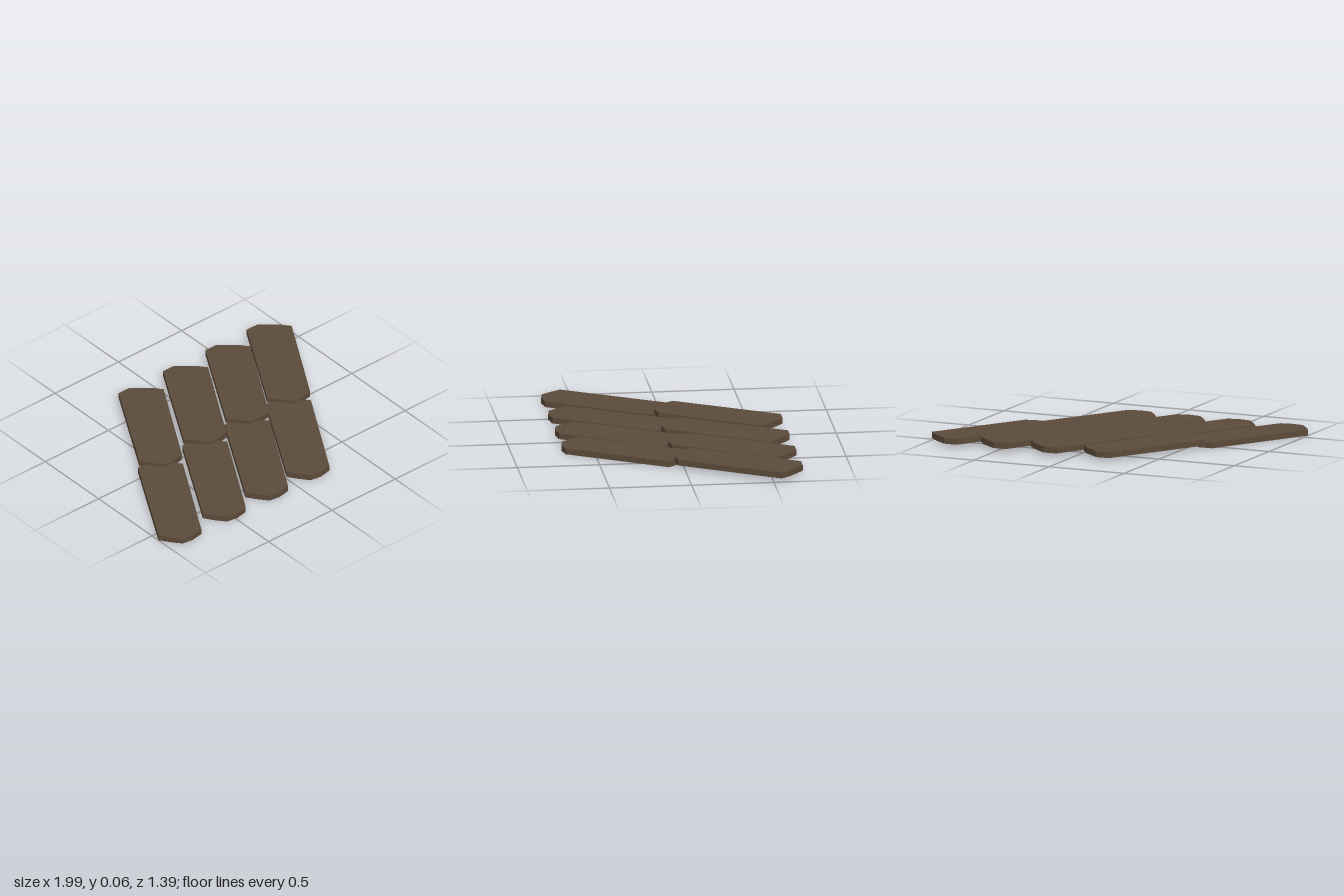
import * as THREE from 'three';

// Outline of one slanted plank as [x, z], with a blunt rounded tip at each end
const OUTLINE = [
  [-1.0, 0.56], [-0.955, 0.625], [-0.91, 0.68], [-0.84, 0.692], [-0.76, 0.677],
  [-0.41, 0.09], [-0.45, 0.04], [-0.5, -0.005], [-0.56, -0.055], [-0.643, -0.055],
];
const THICKNESS = 0.036;
const COLUMNS = [0, 0.352, 0.688, 1.015];

export function createModel() {
  const model = new THREE.Group();
  model.name = 'plankTiles';
  const wood = new THREE.MeshStandardMaterial({ color: 0x5c4a3a });
  wood.name = 'dark brown wood';

  const shape = new THREE.Shape(OUTLINE.map(([x, z]) => new THREE.Vector2(x, -z)));
  const plank = new THREE.ExtrudeGeometry(shape, { depth: THICKNESS, bevelEnabled: false });
  plank.rotateX(-Math.PI / 2);

  // Lower front row, and a raised back row overlapping its ends
  const rows = [
    { name: 'frontPlank', x: 0, y: 0, z: 0 },
    { name: 'backPlank', x: 0.388, y: 0.02, z: -0.64 },
  ];
  for (const row of rows) {
    COLUMNS.forEach((dx, i) => {
      const mesh = new THREE.Mesh(plank, wood);
      mesh.name = row.name + (i + 1);
      mesh.position.set(row.x + dx - 0.003 * i / 3, row.y, row.z);
      model.add(mesh);
    });
  }
  return model;
}
